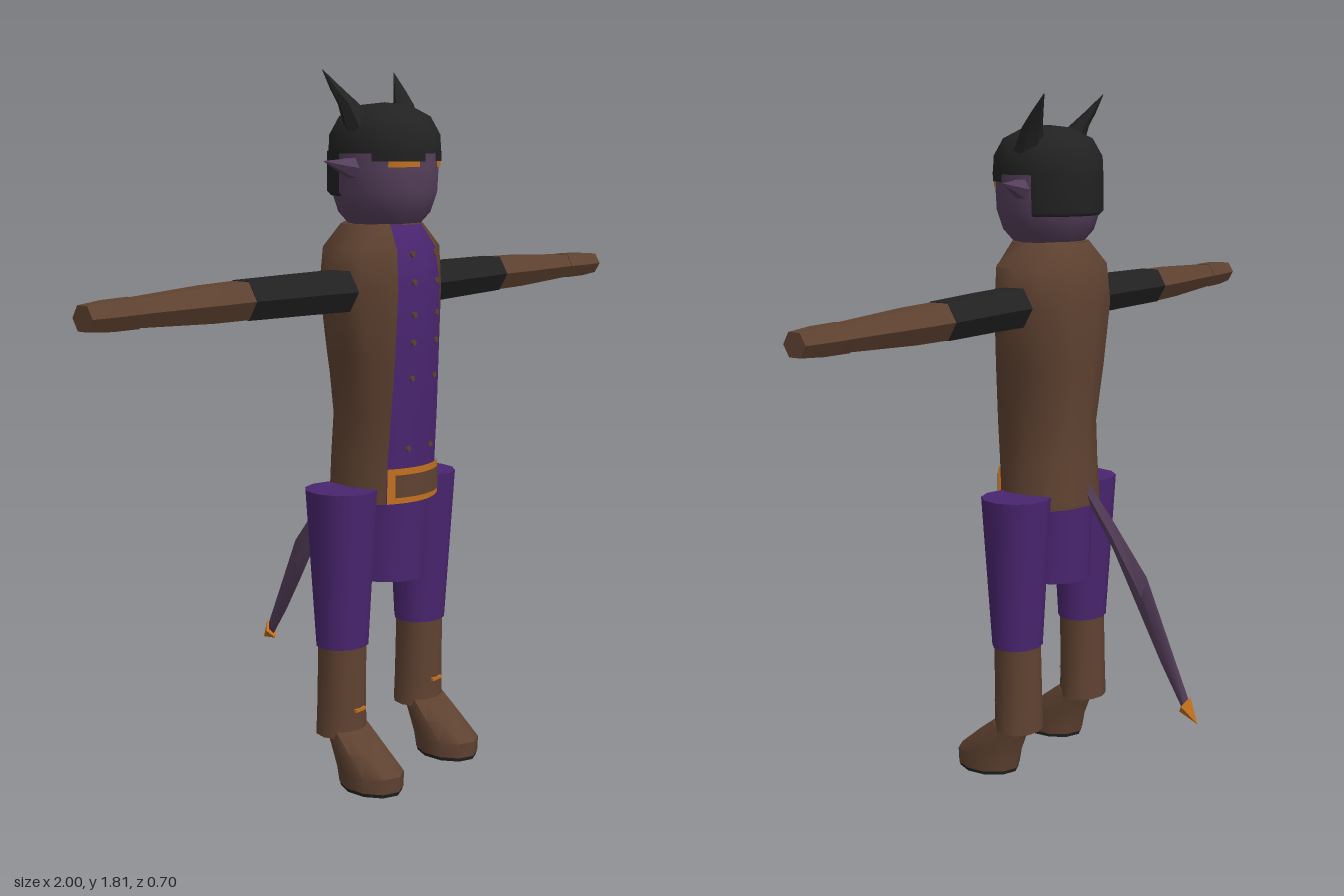
import * as THREE from 'three';
import { toCreasedNormals } from 'three/addons/utils/BufferGeometryUtils.js';

const mat = (name, color) => {
  const m = new THREE.MeshStandardMaterial({ color, side: THREE.DoubleSide });
  m.name = name;
  return m;
};

// Skin a stack of rings (each an array of [x, y, z]); side -1 mirrors in x.
function loft(rings, { closed = true, side = 1, crease = 0.8 } = {}) {
  const n = rings[0].length, pos = [], idx = [];
  const tri = (a, b, c) => (side > 0 ? idx.push(a, b, c) : idx.push(a, c, b));
  rings.forEach(r => r.forEach(p => pos.push(p[0] * side, p[1], p[2])));
  const cols = closed ? n : n - 1;
  for (let i = 0; i < rings.length - 1; i++) {
    for (let j = 0; j < cols; j++) {
      const a = i * n + j, b = i * n + (j + 1) % n;
      tri(a, b, b + n);
      tri(a, b + n, a + n);
    }
  }
  if (closed) {
    const t = (rings.length - 1) * n;
    for (let j = 1; j < n - 1; j++) {
      tri(0, j + 1, j);
      tri(t, t + j, t + j + 1);
    }
  }
  const g = new THREE.BufferGeometry();
  g.setAttribute('position', new THREE.Float32BufferAttribute(pos, 3));
  g.setIndex(idx);
  return toCreasedNormals(g, crease);
}

// Elliptical rings around the y axis and around the x axis
const ringY = (x, y, z, rx, rz, n) => Array.from({ length: n }, (_, k) => {
  const a = (k / n) * Math.PI * 2;
  return [x + rx * Math.sin(a), y, z + rz * Math.cos(a)];
});
const ringX = (x, y, z, r, n) => Array.from({ length: n }, (_, k) => {
  const a = Math.PI / 6 + (k / n) * Math.PI * 2;
  return [x, y + r * Math.cos(a), z + r * Math.sin(a)];
});

export function createModel() {
  const root = new THREE.Group();
  root.name = 'hornedFigure';
  const brown = mat('brownLeather', 0x5f4231);
  const purple = mat('purpleCloth', 0x4a2570);
  const black = mat('black', 0x222222);
  const skin = mat('mauveSkin', 0x56405c);
  const orange = mat('orange', 0xc2701f);
  const add = (name, geo, m) => {
    const mesh = new THREE.Mesh(geo, m);
    mesh.name = name;
    root.add(mesh);
    return mesh;
  };

  // Torso levels: y, half width, shirt half width, front z, back z
  const levels = [
    [0.73, 0.138, 0.1, 0.285, 0.035], [0.85, 0.13, 0.098, 0.29, 0.04],
    [0.95, 0.12, 0.095, 0.297, 0.04], [1.1, 0.144, 0.09, 0.305, 0.025],
    [1.27, 0.177, 0.085, 0.31, 0.015], [1.37, 0.166, 0.078, 0.3, 0.022],
    [1.43, 0.09, 0.062, 0.265, 0.05],
  ];
  const halfRing = ([y, w, s, f, b]) => [
    [0, y, f], [s / 2, y, f - 0.008], [s, y, f - 0.03], [w * 0.93, y, 0.225],
    [w, y, 0.165], [w * 0.9, y, 0.09], [w * 0.55, y, b + 0.018], [0, y, b],
  ];
  const torsoRings = levels.map(l => {
    const h = halfRing(l);
    return [...h, ...h.slice(1, 7).reverse().map(p => [-p[0], p[1], p[2]])];
  });
  add('jacket', loft(torsoRings.map(r => r.slice(2, 13)), { closed: false, crease: 1 }), brown);
  add('shirtFront', loft(torsoRings.map(r => [...r.slice(12), ...r.slice(0, 3)]),
    { closed: false, crease: 1 }), purple);
  const lidTop = torsoRings[6], lidBottom = torsoRings[0];
  add('collarLid', loft([lidTop, lidTop.map(([x, y, z]) => [x * 0.8, y + 0.003, z])]), brown);
  add('jacketBottom', loft([lidBottom, lidBottom.map(([x, y, z]) => [x * 0.99, y + 0.01, z * 0.99])]), brown);

  // Two rows of shirt buttons
  for (const y of [0.87, 1.05, 1.14, 1.21, 1.29, 1.36]) {
    const i = levels.findIndex(l => l[0] > y), a = levels[i - 1], b = levels[i];
    const z = THREE.MathUtils.mapLinear(y, a[0], b[0], a[3], b[3]);
    for (const x of [-0.045, 0.045]) {
      const button = new THREE.CylinderGeometry(0.008, 0.008, 0.006, 6).rotateX(Math.PI / 2);
      add('button', button.translate(x, y, z - 0.008), brown);
    }
  }

  // Curved belt buckle: orange plate with a brown centre
  const curvedPlate = (w, y0, y1, f) => loft([y0, y1].map(y =>
    Array.from({ length: 9 }, (_, k) => {
      const x = (k / 4 - 1) * w;
      return [x, y, f - 3 * x * x];
    })), { closed: false });
  add('buckleFrame', curvedPlate(0.104, 0.732, 0.822, 0.296), orange);
  add('buckleCentre', curvedPlate(0.088, 0.748, 0.806, 0.3), brown);

  // Hips
  add('hips', loft([ringY(0, 0.52, 0.165, 0.1, 0.113, 12),
    ringY(0, 0.78, 0.165, 0.108, 0.117, 12)]), purple);

  // Head, cap of hair and hair at the back
  const lathe = (pts, start = 0, len = Math.PI * 2, seg = 14) =>
    new THREE.LatheGeometry(pts.map(p => new THREE.Vector2(...p)), seg, start, len)
      .scale(0.93, 1, 1).translate(0, 0, 0.165);
  add('head', toCreasedNormals(lathe([[0, 1.425], [0.09, 1.425], [0.122, 1.46], [0.139, 1.51],
    [0.142, 1.57], [0.142, 1.62], [0, 1.62]]), 0.8), skin);
  add('hairCap', toCreasedNormals(lathe([[0, 1.605], [0.148, 1.605], [0.146, 1.65], [0.12, 1.695],
    [0.065, 1.723], [0, 1.73]]), 0.8), black);
  add('backHair', lathe([[0.138, 1.5], [0.148, 1.51], [0.148, 1.61]], 1.82, Math.PI * 2 - 3.64), black);

  for (const side of [1, -1]) {
    // Eyes and brows, curved onto the face
    const arc = (a, b) => [side > 0 ? a : -b, b - a, 8];
    add('eye', lathe([[0.145, 1.572], [0.145, 1.59]], ...arc(0.26, 0.86)), orange);
    add('brow', lathe([[0.147, 1.586], [0.148, 1.61]], ...arc(0.15, 1.15)), black);

    // Pointed ear
    add('ear', loft([ringX(0.115, 1.568, 0.165, 0.032, 6), ringX(0.15, 1.573, 0.162, 0.021, 6),
      ringX(0.22, 1.587, 0.155, 0.001, 6)], { side }), skin);

    // Horn
    add('horn', loft([ringY(0.09, 1.66, 0.165, 0.042, 0.042, 7), ringY(0.11, 1.725, 0.14, 0.026, 0.028, 7),
      ringY(0.125, 1.76, 0.115, 0.016, 0.017, 7), ringY(0.141, 1.808, 0.082, 0.001, 0.001, 7)],
    { side }), black);

    // Arm: dark sleeve, then leather forearm and glove
    add('upperArm', loft([ringX(0.165, 1.27, 0.163, 0.058, 6), ringX(0.3, 1.271, 0.158, 0.056, 6),
      ringX(0.505, 1.271, 0.146, 0.053, 6)], { side, crease: 0.3 }), black);
    add('forearm', loft([ringX(0.505, 1.271, 0.146, 0.051, 6), ringX(0.62, 1.271, 0.148, 0.049, 6),
      ringX(0.85, 1.271, 0.153, 0.037, 6)], { side, crease: 0.3 }), brown);
    add('hand', loft([ringX(0.85, 1.271, 0.153, 0.039, 6), ringX(0.93, 1.271, 0.157, 0.038, 6),
      ringX(1, 1.271, 0.16, 0.032, 6)], { side, crease: 0.3 }), brown);

    // Leg
    const x = 0.162 * side;
    add('trouserLeg', loft([ringY(x, 0.365, 0.165, 0.072, 0.066, 12),
      ringY(x * 1.02, 0.77, 0.163, 0.09, 0.093, 12)]), purple);
    add('bootShaft', loft([ringY(x, 0.13, 0.163, 0.071, 0.064, 12), ringY(x, 0.2, 0.163, 0.068, 0.062, 12),
      ringY(x, 0.37, 0.165, 0.066, 0.061, 12)]), brown);
    add('bootStud', new THREE.BoxGeometry(0.038, 0.008, 0.008).translate(x, 0.2, 0.225), orange);
    add('foot', loft([ringY(x, 0.01, 0.263, 0.07, 0.089, 10), ringY(x, 0.05, 0.26, 0.072, 0.094, 10),
      ringY(x, 0.1, 0.222, 0.069, 0.072, 10), ringY(x, 0.147, 0.182, 0.064, 0.05, 10)]), brown);
    add('sole', loft([ringY(x, 0, 0.263, 0.066, 0.086, 10), ringY(x, 0.012, 0.263, 0.068, 0.089, 10)]), black);
  }

  // Tail: diamond sections given as x, half width, upper y and z, lower y and z
  const diamond = ([x, h, uy, uz, ly, lz]) => [
    [x, uy, uz], [x + h, (uy + ly) / 2, (uz + lz) / 2],
    [x, ly, lz], [x - h, (uy + ly) / 2, (uz + lz) / 2],
  ];
  add('tail', loft([[0, 0.01, 0.81, 0.055, 0.76, 0.055], [0, 0.012, 0.69, -0.04, 0.62, -0.035],
    [0, 0.013, 0.555, -0.14, 0.45, -0.122], [0.035, 0.012, 0.42, -0.22, 0.34, -0.205],
    [0.072, 0.008, 0.265, -0.31, 0.238, -0.292]].map(diamond)), skin);
  add('tailTip', loft([[0.07, 0.022, 0.278, -0.312, 0.232, -0.28],
    [0.093, 0.001, 0.219, -0.346, 0.218, -0.345]].map(diamond), { crease: 0.3 }), orange);

  return root;
}
